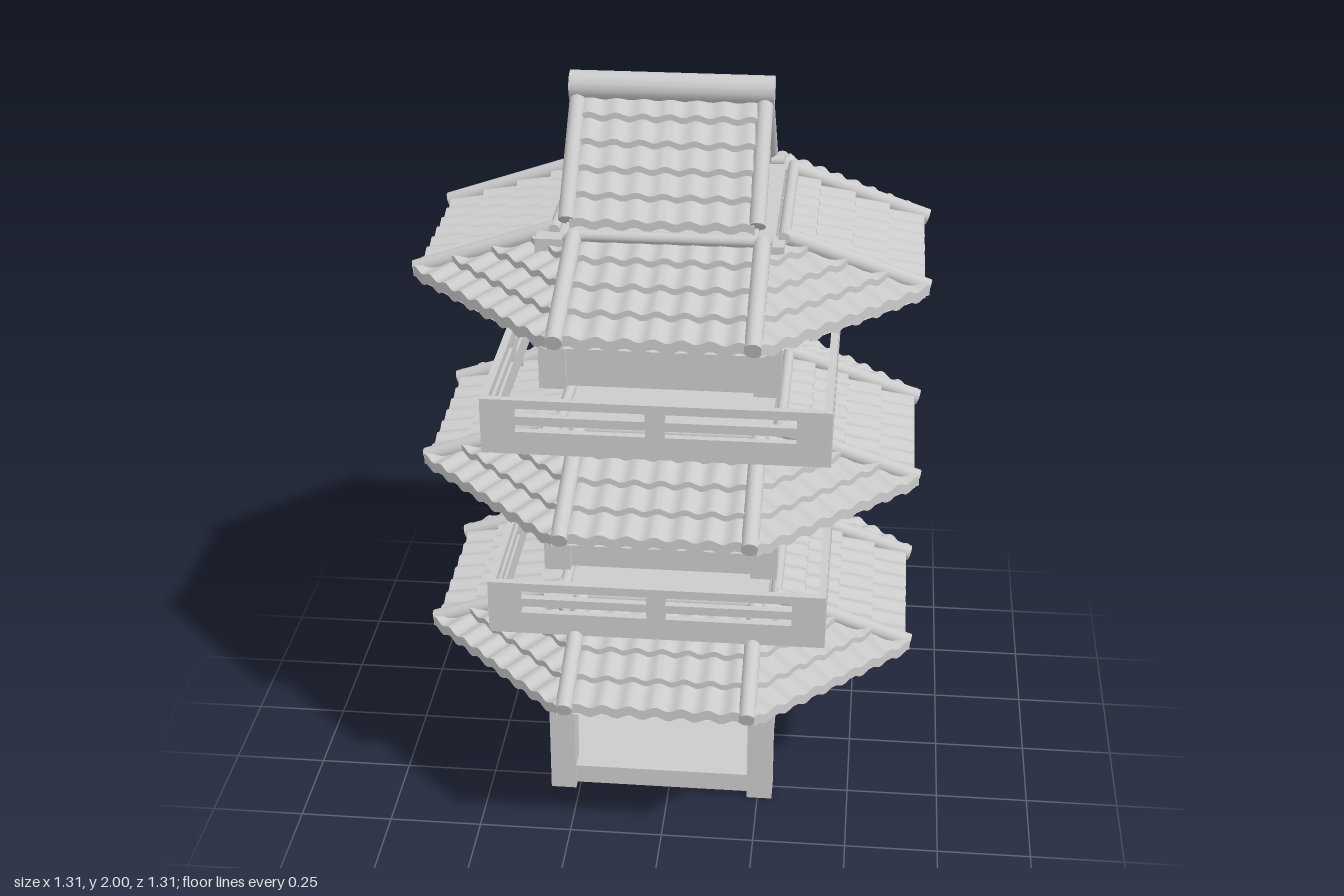
import * as THREE from 'three';
import { toCreasedNormals } from 'three/addons/utils/BufferGeometryUtils.js';

const grey = new THREE.MeshStandardMaterial({ color: 0xcccccc });
const sheet = new THREE.MeshStandardMaterial({ color: 0xcccccc, side: THREE.DoubleSide });
const CX = -0.02; // the tower stands slightly off the roof axis

function add(parent, name, geometry, material = grey) {
  const mesh = new THREE.Mesh(geometry, material);
  mesh.name = name;
  parent.add(mesh);
  return mesh;
}

function box(parent, name, w, h, d, x, y, z) {
  const mesh = add(parent, name, new THREE.BoxGeometry(w, h, d));
  mesh.position.set(x, y, z);
  return mesh;
}

// Round pole between two points
function pole(parent, name, a, b, radius) {
  const from = new THREE.Vector3(...a), to = new THREE.Vector3(...b);
  const dir = to.clone().sub(from);
  const mesh = add(parent, name, new THREE.CylinderGeometry(radius, radius, dir.length(), 14));
  mesh.position.copy(from).add(to).multiplyScalar(0.5);
  mesh.quaternion.setFromUnitVectors(new THREE.Vector3(0, 1, 0), dir.normalize());
  return mesh;
}

// Slope running outward along +z whose width may taper: wavy, stepped tiles or a plain sheet
function slope(w0, w1, r0, r1, y0, y1, { rows = 1, step = 0, amp = 0, lip = 0 } = {}) {
  const wave = 0.068, parts = 4;
  const cols = Math.round((w1 / wave) * 6);
  const lines = [];
  for (let r = 0; r < rows; r++)
    for (let p = 0; p <= parts; p++) lines.push([(r + p / parts) / rows, (step * p) / parts]);
  lines.push([1, -lip]);
  const pos = [], index = [];
  lines.forEach(([t, lift], j) => {
    const half = (w0 + (w1 - w0) * t) / 2;
    for (let i = 0; i <= cols; i++) {
      const x = THREE.MathUtils.clamp((i / cols - 0.5) * w1, -half, half);
      const ripple = amp * Math.cos((x / wave) * Math.PI * 2);
      pos.push(x, y0 + (y1 - y0) * t + lift + ripple, r0 + (r1 - r0) * t);
      if (j && i < cols) {
        const b = j * (cols + 1) + i, a = b - cols - 1;
        index.push(a, b, a + 1, b, b + 1, a + 1);
      }
    }
  });
  const g = new THREE.BufferGeometry();
  g.setAttribute('position', new THREE.Float32BufferAttribute(pos, 3));
  g.setIndex(index);
  return toCreasedNormals(g, 0.7);
}

// Eight-sided skirt roof with a sloping underside
function skirtRoof(base) {
  const roof = new THREE.Group();
  roof.name = 'skirtRoof';
  const tiles = { rows: 4, step: 0.016, amp: 0.006, lip: 0.012 };
  const straight = slope(0.49, 0.49, 0.27, 0.64, 0.137, 0.017, tiles);
  const corner = slope(0, 0.56, 0.355, 0.642, 0.14, 0.017, tiles);
  const soffit = slope(0.49, 0.49, 0.27, 0.635, 0.075, 0.002);
  const cornerSoffit = slope(0, 0.55, 0.355, 0.635, 0.075, 0.002);
  for (let k = 0; k < 4; k++) {
    const side = new THREE.Group();
    side.name = 'roofSide';
    side.rotation.y = k * Math.PI / 2;
    add(side, 'straightTiles', straight, sheet);
    add(side, 'soffit', soffit, sheet);
    add(side, 'cornerTiles', corner, sheet).rotation.y = Math.PI / 4;
    add(side, 'cornerSoffit', cornerSoffit, sheet).rotation.y = Math.PI / 4;
    for (const s of [-1, 1])
      pole(side, 'hipPole', [s * 0.235, 0.147, 0.285], [s * 0.237, 0.022, 0.65], 0.022);
    pole(side, 'topPole', [-0.26, 0.149, 0.287], [0.26, 0.149, 0.287], 0.015);
    roof.add(side);
  }
  roof.position.y = base;
  return roof;
}

// Slotted parapet panel facing +z
function parapetPanel(width) {
  const h = 0.152, w = width / 2;
  const rect = (Kind, x0, x1, y0, y1) => new Kind([[x0, y0], [x1, y0], [x1, y1], [x0, y1]]
    .map(p => new THREE.Vector2(...p)));
  const shape = rect(THREE.Shape, -w, w, 0, h);
  for (const [y0, y1] of [[0.063, 0.082], [0.106, 0.128]])
    for (const [x0, x1] of [[-0.357, -0.025], [0.025, 0.357]])
      shape.holes.push(rect(THREE.Path, x0, x1, y0, y1));
  return new THREE.ExtrudeGeometry(shape, { depth: 0.02, bevelEnabled: false }).translate(0, 0, -0.02);
}

function balcony(base) {
  const group = new THREE.Group();
  group.name = 'balcony';
  const hx = 0.445, hz = 0.43;
  for (let k = 0; k < 4; k++) {
    const panel = add(group, 'parapet', parapetPanel(k % 2 ? hz * 2 - 0.04 : hx * 2));
    panel.rotation.y = k * Math.PI / 2;
    panel.position.set([0, hx, 0, -hx][k], 0, [hz, 0, -hz, 0][k]);
  }
  group.position.set(CX, base, -0.005);
  return group;
}

// Four corner posts with recessed walls between them
function storey(postBottom, wallBottom, top) {
  const group = new THREE.Group();
  group.name = 'storey';
  const postHeight = top - postBottom, wallHeight = top - wallBottom;
  for (const sx of [-1, 1])
    for (const sz of [-1, 1])
      box(group, 'cornerPost', 0.07, postHeight, 0.07, sx * 0.275, postBottom + postHeight / 2, sz * 0.273);
  box(group, 'walls', 0.57, wallHeight, 0.57, 0, wallBottom + wallHeight / 2, 0);
  group.position.x = CX;
  return group;
}

// Open-ended gabled cap with its ridge along x
function gable() {
  const cap = new THREE.Group();
  cap.name = 'gableRoof';
  const alongX = (name, pts, x0, x1) => {
    const g = new THREE.ExtrudeGeometry(new THREE.Shape(pts.map(p => new THREE.Vector2(...p))),
      { depth: x1 - x0, bevelEnabled: false });
    const mesh = add(cap, name, g);
    mesh.rotation.y = Math.PI / 2;
    mesh.position.x = x0;
  };
  alongX('gableWall', [[-0.262, 1.665], [0.262, 1.665], [0, 1.925]], -0.11, 0.08);
  alongX('roofBoards', [[-0.28, 1.68], [-0.245, 1.68], [0, 1.915], [0.245, 1.68], [0.28, 1.68], [0, 1.945]],
    -0.255, 0.225);
  const tiles = slope(0.46, 0.46, 0.015, 0.278, 1.945, 1.692, { rows: 5, step: 0.016, amp: 0.005, lip: 0.006 });
  for (const s of [-1, 1]) {
    const face = add(cap, 'gableTiles', tiles, sheet);
    face.position.x = -0.016;
    face.rotation.y = s > 0 ? 0 : Math.PI;
    for (const x of [-0.254, 0.221])
      pole(cap, 'gablePole', [x, 1.953, 0], [x, 1.703, s * 0.272], 0.021);
  }
  pole(cap, 'ridgePole', [-0.276, 1.962, 0], [0.244, 1.962, 0], 0.038);
  return cap;
}

export function createModel() {
  const model = new THREE.Group();
  model.name = 'tower';

  // Open ground floor, then the enclosed storeys
  box(model, 'groundFloor', 0.6, 0.055, 0.6, CX, 0.0425, 0);
  model.add(storey(0, 0.44, 0.61));
  model.add(storey(0.714, 0.714, 1.115));
  model.add(storey(1.252, 1.252, 1.665));

  // Roof tiers, balconies and cap
  for (const y of [0.475, 0.98, 1.52]) model.add(skirtRoof(y));
  for (const y of [0.583, 1.121]) model.add(balcony(y));
  model.add(gable());
  return model;
}
